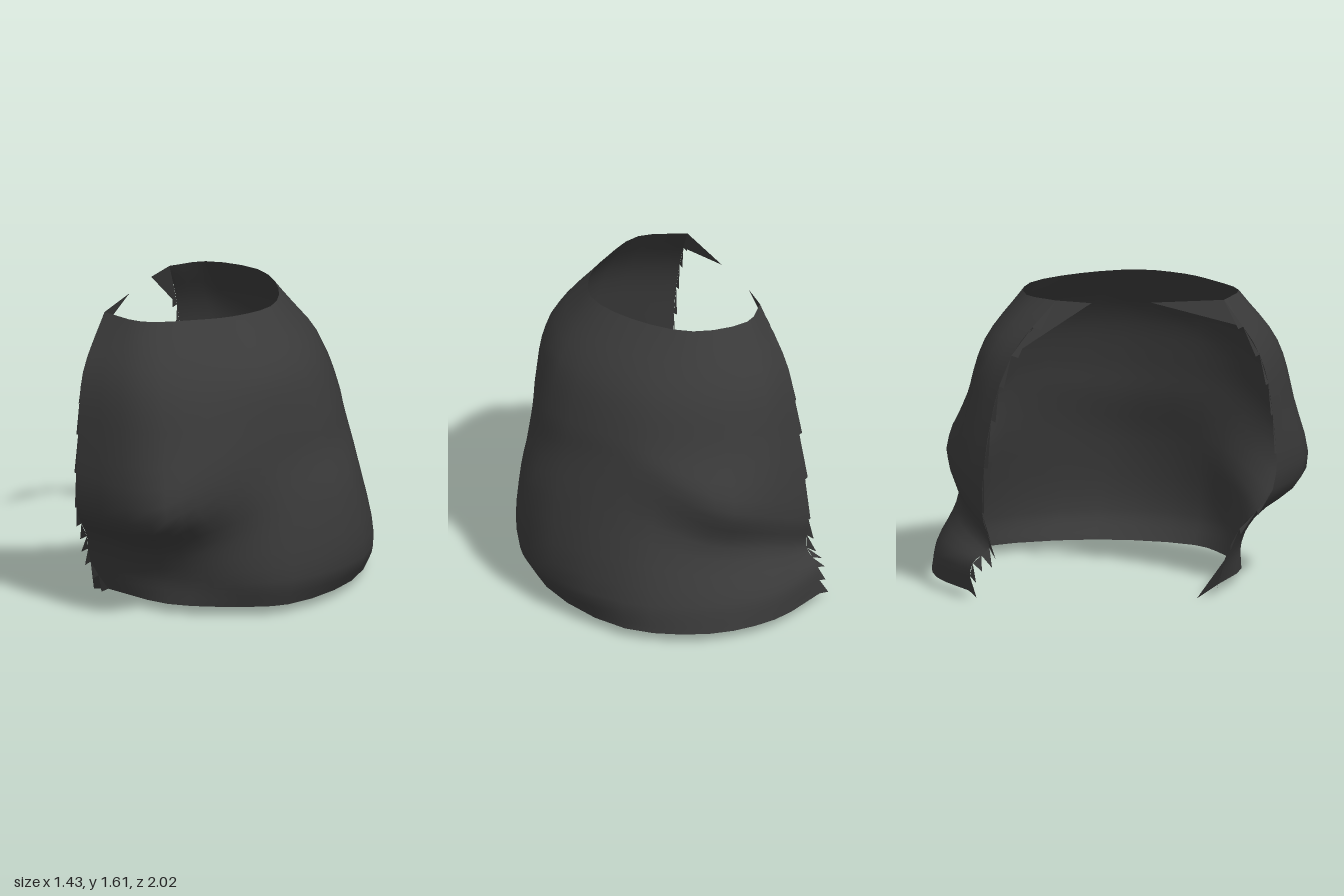
import * as THREE from 'three';

// Outlines of the wrap as x,z pairs, from the torn back end round the +x side to the torn front end
const levels = [
  { y: 0.05, fold: 0, xz: [-.63, -.83, -.28, -.99, .1, -.98, .48, -.72, .64, -.1, .48, .42, .25, .56, -.12, .65, -.52, .51] },
  { y: 0.2, fold: 0, xz: [-.63, -.81, -.3, -.97, .1, -.95, .49, -.7, .72, -.08, .52, .45, .25, .61, -.15, .65, -.61, .54] },
  { y: 0.4, fold: 0.8, xz: [-.61, -.72, -.3, -.85, .05, -.84, .42, -.6, .69, -.02, .49, .45, .2, .67, -.15, .74, -.6, .62] },
  { y: 0.62, fold: 1, xz: [-.6, -.76, -.28, -.9, .03, -.91, .38, -.56, .61, 0, .44, .46, .13, .87, -.08, 1, -.59, .8] },
  { y: 1.0, fold: 0.2, xz: [-.57, -.71, -.32, -.82, .05, -.78, .37, -.52, .57, .02, .43, .44, .16, .78, -.15, .93, -.58, .8] },
  { y: 1.32, fold: 0, xz: [-.56, -.6, -.35, -.73, 0, -.69, .3, -.45, .48, .05, .36, .45, .1, .7, -.2, .84, -.58, .73] },
  { y: 1.61, fold: 0, xz: [-.51, -.36, -.36, -.51, -.05, -.48, .18, -.2, .26, .12, .14, .36, -.03, .5, -.28, .63, -.53, .54] },
];
// How far the diagonal fold rises or drops round the wrap
const foldRise = [-.15, .01, .13, .32, .23, .22, .07, -.03, -.04];
const COLS = 24, ROWS = 24;

function buildGrid() {
  const rings = levels.map(({ y, fold, xz }) => new THREE.CatmullRomCurve3(
    foldRise.map((d, i) => new THREE.Vector3(xz[2 * i], y + fold * d, xz[2 * i + 1]))));
  const columns = [];
  for (let c = 0; c <= COLS; c++) {
    const profile = new THREE.CatmullRomCurve3(rings.map((r) => r.getPoint(c / COLS)));
    columns.push(profile.getPoints(ROWS));
  }
  return columns;
}

// Smooth cloth surface lofted through the outlines
function clothGeometry(columns) {
  const geometry = new THREE.BufferGeometry();
  const index = [];
  for (let c = 0; c < COLS; c++) {
    for (let r = 0; r < ROWS; r++) {
      const a = c * (ROWS + 1) + r, b = a + ROWS + 1;
      index.push(a, a + 1, b, b, a + 1, b + 1);
    }
  }
  geometry.setFromPoints(columns.flat());
  geometry.setIndex(index);
  geometry.computeVertexNormals();
  return geometry;
}

// Triangles from a flat list of corners
function triangleGeometry(points) {
  const geometry = new THREE.BufferGeometry().setFromPoints(points);
  geometry.computeVertexNormals();
  return geometry;
}

// Ragged teeth along one torn end, longer near the bottom
function tornGeometry(edge, inner, longest, flip) {
  const points = [];
  for (let r = 0; r < ROWS; r += 2) {
    const a = edge[r], b = edge[r + 2];
    const length = longest * (0.8 + 0.2 * Math.sin(r * 2.4)) * (r < 12 ? 1 : 0.35);
    const out = a.clone().sub(inner[r]).normalize();
    const tip = a.clone().lerp(b, 0.2).addScaledVector(out, length);
    tip.y = Math.max(0, tip.y - 0.04);
    tip.x = Math.max(-0.72, tip.x);
    points.push(...(flip ? [a, b, tip] : [a, tip, b]));
  }
  return triangleGeometry(points);
}

export function createModel() {
  const model = new THREE.Group();
  model.name = 'tornClothWrap';
  const cloth = new THREE.MeshStandardMaterial({ color: 0x3a3a3a, side: THREE.DoubleSide });
  cloth.name = 'charcoalCloth';
  const add = (name, geometry) => {
    const mesh = new THREE.Mesh(geometry, cloth);
    mesh.name = name;
    model.add(mesh);
  };

  const columns = buildGrid();
  const back = columns[0], front = columns[COLS];
  add('clothWrap', clothGeometry(columns));
  add('backTornEdge', tornGeometry(back, columns[1], 0.1, false));
  add('frontTornEdge', tornGeometry(front, columns[COLS - 1], 0.045, true));

  // Scraps at the top corners and the bottom front corner
  add('backTopScrap', triangleGeometry([back[ROWS - 4], back[ROWS], new THREE.Vector3(-0.54, 1.6, -0.17)]));
  add('frontTopScrap', triangleGeometry([front[ROWS], front[ROWS - 2], new THREE.Vector3(-0.54, 1.6, 0.15)]));
  add('frontBottomScrap', triangleGeometry([front[4], front[0], new THREE.Vector3(-0.65, 0, 0.39)]));
  return model;
}
